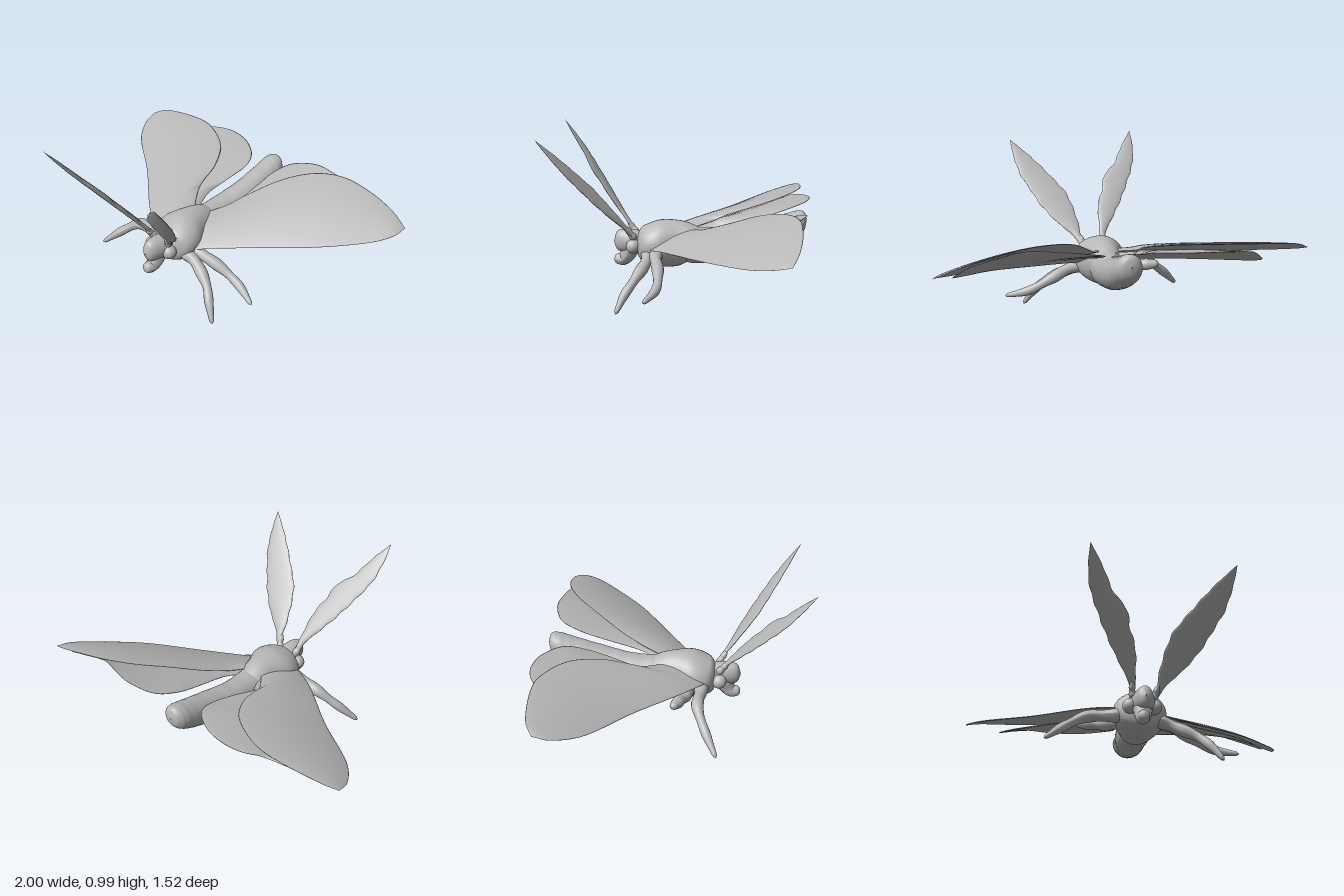
import * as THREE from 'three';
import { ParametricGeometry } from 'three/addons/geometries/ParametricGeometry.js';

const curve = (pts) =>
  new THREE.CatmullRomCurve3(pts.map((p) => new THREE.Vector3(...p)), false, 'catmullrom', 0.5);

// Elliptical cross-sections [x, y, z, rx, ry] joined along z, with optional rings
function loft(sections, ripple = 0) {
  const mid = curve(sections.map((s) => s.slice(0, 3)));
  const rad = curve(sections.map((s) => [s[3], s[4], 0]));
  return new ParametricGeometry((u, v, out) => {
    const a = -v * Math.PI * 2;
    const r = rad.getPoint(u);
    const k = 1 + ripple * Math.sin(u * 75);
    out.copy(mid.getPoint(u));
    out.x += Math.cos(a) * Math.abs(r.x) * k;
    out.y += Math.sin(a) * Math.abs(r.y) * k;
  }, 80, 32);
}

// Thin closed blade between two edge curves that meet at the tip
function blade(lead, trail, { thick = 0.01, camber = 0, teeth = 0 } = {}) {
  const a = curve(lead), b = curve(trail), q = new THREE.Vector3();
  return new ParametricGeometry((u, v, out) => {
    const phi = v * Math.PI * 2;
    const w = 0.5 - 0.5 * Math.cos(phi);
    out.copy(a.getPointAt(u)).lerp(q.copy(b.getPointAt(u)), w);
    out.x += teeth * Math.sin(u * 48) * (w - 0.5) * Math.sin(Math.PI * u);
    out.y += (thick * Math.sin(phi) + camber * Math.sin(Math.PI * w)) * (1 - u ** 6);
  }, 56, 28);
}

// Rounded limb tapering from r0 to r1 with slight joints
function limb(pts, r0, r1, joints = 0.1) {
  const path = curve(pts), n = 40, m = 14;
  const geo = new THREE.TubeGeometry(path, n, 1, m);
  const pos = geo.attributes.position, v = new THREE.Vector3();
  for (let i = 0; i <= n; i++) {
    const u = i / n, c = path.getPointAt(u);
    const r = (r0 + (r1 - r0) * u) * (1 + joints * Math.sin(u * 19))
      * Math.sqrt(Math.max(0.001, 1 - (2 * u - 1) ** 10));
    for (let j = 0; j <= m; j++) {
      const k = i * (m + 1) + j;
      v.fromBufferAttribute(pos, k).sub(c).multiplyScalar(r).add(c);
      pos.setXYZ(k, v.x, v.y, v.z);
    }
  }
  geo.computeVertexNormals();
  return geo;
}

export function createModel() {
  const model = new THREE.Group();
  const grey = new THREE.MeshStandardMaterial({ color: 0xb8b8b8, side: THREE.DoubleSide });
  grey.name = 'plain grey';
  const add = (name, geo) => {
    const mesh = new THREE.Mesh(geo, grey);
    mesh.name = name;
    model.add(mesh);
    return mesh;
  };

  // Body
  add('abdomen', loft([
    [-0.03, 0.33, 0.05, 0.06, 0.08], [-0.025, 0.31, -0.08, 0.095, 0.105],
    [-0.02, 0.325, -0.25, 0.092, 0.1], [0, 0.365, -0.42, 0.086, 0.095],
    [0.008, 0.415, -0.58, 0.081, 0.09], [0.01, 0.455, -0.68, 0.074, 0.08],
    [0.01, 0.475, -0.725, 0.048, 0.055], [0.01, 0.48, -0.74, 0.002, 0.002],
  ], 0.006));
  add('thorax', loft([
    [-0.025, 0.33, -0.17, 0.06, 0.06], [-0.028, 0.33, -0.08, 0.095, 0.105],
    [-0.03, 0.32, 0, 0.115, 0.135], [-0.03, 0.318, 0.1, 0.15, 0.138],
    [-0.03, 0.315, 0.18, 0.14, 0.115], [-0.035, 0.31, 0.225, 0.09, 0.09],
    [-0.035, 0.31, 0.255, 0.002, 0.002],
  ]));
  add('head', loft([
    [-0.035, 0.315, 0.19, 0.05, 0.06], [-0.035, 0.32, 0.25, 0.068, 0.07],
    [-0.035, 0.325, 0.32, 0.055, 0.07], [-0.037, 0.325, 0.365, 0.036, 0.055],
    [-0.037, 0.32, 0.385, 0.002, 0.002],
  ]));
  add('mouthparts', limb([[-0.04, 0.29, 0.28], [-0.04, 0.24, 0.305], [-0.045, 0.21, 0.335], [-0.045, 0.215, 0.385]], 0.058, 0.028, 0));
  for (const x of [-0.105, 0.03]) {
    const eye = add('eye', new THREE.SphereGeometry(0.042, 24, 16));
    eye.position.set(x, 0.305, 0.26);
  }

  // Forewings
  add('leftForewing', blade(
    [[0.02, 0.3, 0.19], [0.12, 0.305, 0.145], [0.2, 0.32, 0.085], [0.38, 0.345, -0.04], [0.67, 0.385, -0.24],
      [0.885, 0.415, -0.44], [0.975, 0.44, -0.56], [0.995, 0.46, -0.655]],
    [[0.02, 0.41, -0.1], [0.07, 0.43, -0.19], [0.135, 0.48, -0.32], [0.245, 0.55, -0.48], [0.38, 0.59, -0.615],
      [0.54, 0.595, -0.69], [0.725, 0.56, -0.705], [0.885, 0.51, -0.69], [0.995, 0.46, -0.655]],
    { camber: 0.015 }));
  add('rightForewing', blade(
    [[-0.06, 0.31, 0.21], [-0.16, 0.325, 0.18], [-0.345, 0.36, 0.05], [-0.61, 0.4, -0.19],
      [-0.88, 0.44, -0.4], [-0.985, 0.475, -0.55], [-1, 0.505, -0.65]],
    [[-0.09, 0.4, -0.08], [-0.17, 0.43, -0.2], [-0.19, 0.46, -0.27], [-0.22, 0.5, -0.41], [-0.32, 0.54, -0.57],
      [-0.505, 0.56, -0.685], [-0.665, 0.56, -0.715], [-0.905, 0.54, -0.695], [-1, 0.505, -0.65]],
    { camber: 0.015 }));

  // Hindwings, tucked beneath the forewings
  add('leftHindwing', blade(
    [[0.03, 0.3, 0.1], [0.2, 0.312, 0.05], [0.38, 0.338, -0.065], [0.65, 0.38, -0.26], [0.83, 0.41, -0.45], [0.89, 0.44, -0.57], [0.82, 0.515, -0.685]],
    [[0.02, 0.38, -0.12], [0.07, 0.405, -0.22], [0.09, 0.465, -0.45], [0.105, 0.505, -0.58], [0.165, 0.54, -0.69],
      [0.3, 0.57, -0.735], [0.43, 0.58, -0.715], [0.54, 0.58, -0.685], [0.68, 0.555, -0.69], [0.82, 0.515, -0.685]],
    { camber: 0.02 }));
  add('rightHindwing', blade(
    [[-0.08, 0.31, 0.06], [-0.3, 0.335, -0.04], [-0.55, 0.36, -0.22], [-0.75, 0.385, -0.4], [-0.79, 0.42, -0.53], [-0.7, 0.49, -0.66]],
    [[-0.08, 0.37, -0.1], [-0.13, 0.4, -0.24], [-0.1, 0.45, -0.375], [-0.08, 0.49, -0.535], [-0.12, 0.52, -0.64], [-0.24, 0.535, -0.73],
      [-0.37, 0.54, -0.765], [-0.48, 0.535, -0.755], [-0.575, 0.525, -0.71], [-0.7, 0.49, -0.66]],
    { camber: 0.03 }));

  // Feathery antennae: outlines in x and y, leaning forward with height
  const lean = (pts) => pts.map(([x, y]) => [x, y, 0.27 + (y - 0.385) * 0.785]);
  const plume = { thick: 0.018, teeth: 0.008 };
  add('leftAntenna', blade(
    lean([[0.03, 0.37], [0.038, 0.41], [0.045, 0.5], [0.085, 0.64], [0.165, 0.74], [0.28, 0.86], [0.4, 0.965]]),
    lean([[0.05, 0.37], [0.095, 0.43], [0.178, 0.5], [0.258, 0.59], [0.32, 0.69], [0.365, 0.77], [0.393, 0.88], [0.4, 0.965]]), plume));
  add('rightAntenna', blade(
    lean([[-0.08, 0.37], [-0.082, 0.43], [-0.1, 0.57], [-0.142, 0.66], [-0.172, 0.74], [-0.25, 0.805], [-0.318, 0.905], [-0.395, 1]]),
    lean([[-0.1, 0.37], [-0.122, 0.43], [-0.168, 0.49], [-0.252, 0.6], [-0.328, 0.72], [-0.38, 0.82], [-0.398, 0.93], [-0.395, 1]]), plume));
  add('antennaBase', limb([[0, 0.33, 0.25], [0.03, 0.37, 0.265], [0.045, 0.42, 0.3]], 0.025, 0.014));
  add('antennaBase', limb([[-0.065, 0.33, 0.25], [-0.09, 0.37, 0.265], [-0.103, 0.43, 0.31]], 0.025, 0.014));

  // Legs
  const legs = {
    leftFrontLeg: [[0.03, 0.28, 0.17], [0.14, 0.245, 0.165], [0.27, 0.175, 0.21], [0.34, 0.1, 0.26], [0.4, 0.008, 0.3]],
    leftMiddleLeg: [[0.03, 0.28, 0.12], [0.15, 0.265, 0.11], [0.27, 0.215, 0.08], [0.4, 0.155, 0.075], [0.535, 0.118, 0.125]],
    rightFrontLeg: [[-0.1, 0.29, 0.16], [-0.2, 0.285, 0.155], [-0.33, 0.275, 0.14], [-0.44, 0.2, 0.18], [-0.56, 0.09, 0.25]],
    rightMiddleLeg: [[-0.1, 0.28, 0.1], [-0.2, 0.27, 0.07], [-0.3, 0.28, 0.03], [-0.37, 0.29, 0]],
  };
  for (const [name, pts] of Object.entries(legs)) add(name, limb(pts, 0.042, name === 'rightMiddleLeg' ? 0.028 : 0.018));

  return model;
}
